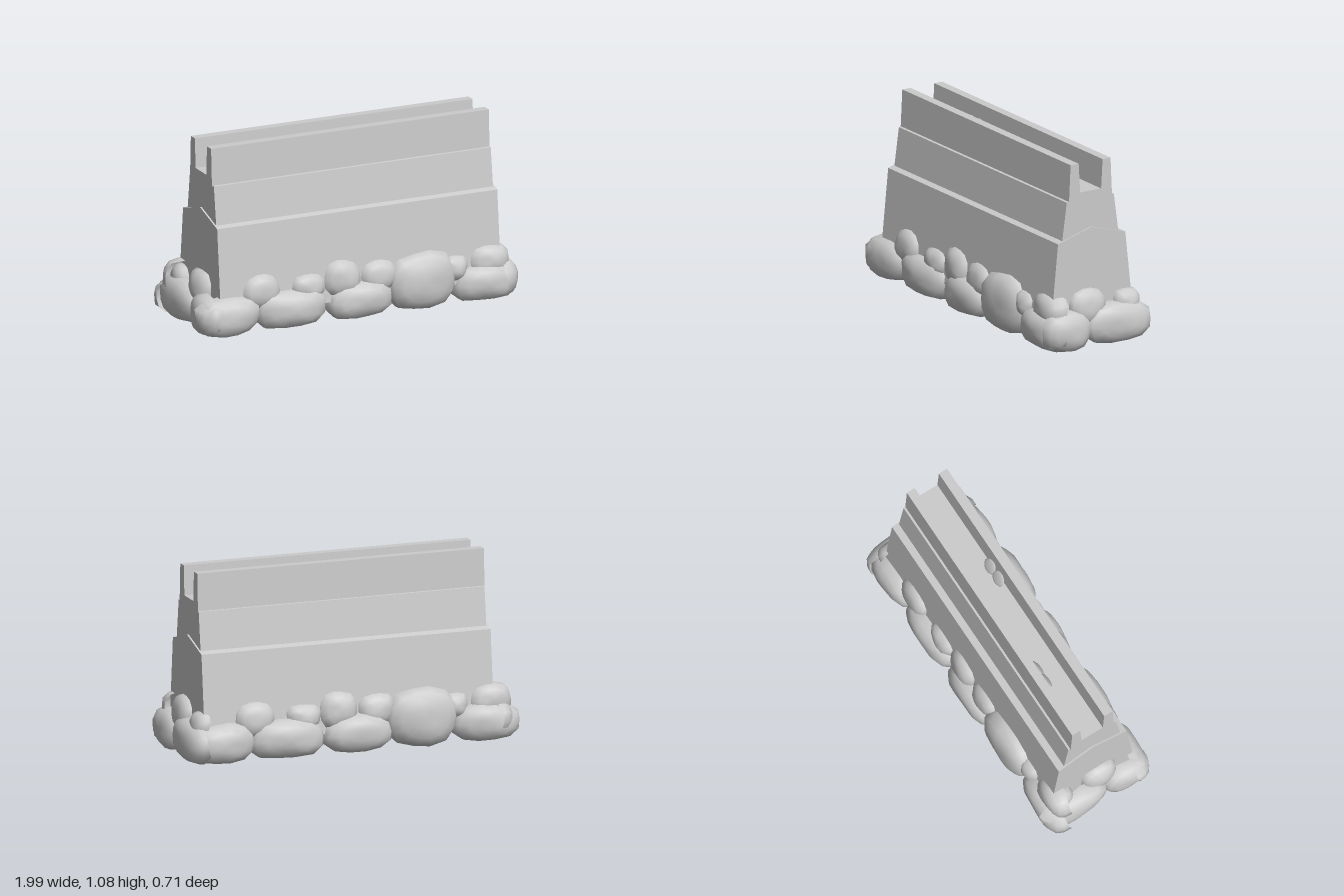
import * as THREE from 'three';
import { mergeVertices } from 'three/addons/utils/BufferGeometryUtils.js';

const material = new THREE.MeshStandardMaterial({ color: 0xcccccc, side: THREE.DoubleSide });

function addMesh(parent, name, geometry) {
  const mesh = new THREE.Mesh(geometry, material);
  mesh.name = name;
  parent.add(mesh);
  return mesh;
}

// Prism along x from a [z, y] cross-section
function prism(profile, x0, x1) {
  const shape = new THREE.Shape(profile.map(([z, y]) => new THREE.Vector2(-z, y)));
  const geometry = new THREE.ExtrudeGeometry(shape, { depth: x1 - x0, bevelEnabled: false });
  return geometry.rotateY(Math.PI / 2).translate(x0, 0, 0);
}

// Drops the faces lying at the given height, leaving an open underside
function openBottom(geometry, y) {
  const p = geometry.attributes.position;
  const kept = [];
  for (let i = 0; i < p.count; i += 3) {
    const onFloor = [0, 1, 2].every((k) => Math.abs(p.getY(i + k) - y) < 1e-4);
    if (!onFloor) for (let k = 0; k < 3; k++) kept.push(p.getX(i + k), p.getY(i + k), p.getZ(i + k));
  }
  const open = new THREE.BufferGeometry();
  open.setAttribute('position', new THREE.Float32BufferAttribute(kept, 3));
  open.computeVertexNormals();
  return open;
}

// Boulder shell: rounded-box dome facing +z with an open, uneven back rim
function boulder(w, h, depth, seed) {
  let geometry = new THREE.SphereGeometry(1, 14, 5, 0, Math.PI * 2, 0, Math.PI / 2).rotateX(Math.PI / 2);
  geometry.deleteAttribute('uv');
  geometry.deleteAttribute('normal');
  geometry = mergeVertices(geometry, 1e-4);
  const p = geometry.attributes.position;
  const power = 2.9;
  for (let i = 0; i < p.count; i++) {
    const x = p.getX(i), y = p.getY(i), z = Math.max(0, p.getZ(i));
    const sum = Math.abs(x) ** power + Math.abs(y) ** power + z ** power;
    const wobble = 1 + 0.045 * Math.sin(4 * x + seed * 2.3) * Math.cos(3 * y + seed * 1.7);
    const r = wobble / sum ** (1 / power);
    const rim = z < 0.01 ? 0.12 * Math.sin(5 * x + 3 * y + seed) : 0;
    p.setXYZ(i, x * r * w / 2, y * r * h / 2, (z * r + rim) * depth);
  }
  geometry.computeVertexNormals();
  return geometry;
}

// Stones along one side: [start, end, bottom, top, upper row?]
const longRow = [
  [-0.97, -0.6, 0.01, 0.24], [-0.62, -0.18, 0.01, 0.24], [-0.17, 0.22, 0.01, 0.23],
  [0.2, 0.61, 0.01, 0.345], [0.6, 0.99, 0.01, 0.23],
  [-0.7, -0.47, 0.14, 0.345, 1], [-0.4, -0.19, 0.15, 0.31, 1], [-0.2, 0.03, 0.14, 0.365, 1],
  [0.03, 0.25, 0.14, 0.335, 1], [0.53, 0.69, 0.14, 0.3, 1], [0.7, 0.95, 0.14, 0.33, 1],
];
const endRow = [
  [-0.35, -0.06, 0.01, 0.24], [-0.07, 0.35, 0.01, 0.245],
  [-0.16, 0.06, 0.14, 0.345, 1], [0.13, 0.29, 0.14, 0.305, 1],
];
const mirrored = (row) => row.map(([a, b, ...rest]) => [-b, -a, ...rest]);

function stoneSide(name, row, angle, rim, depth, upperRim, upperDepth, seed) {
  const side = new THREE.Group();
  side.name = name;
  row.forEach(([a, b, y0, y1, upper], i) => {
    const stone = addMesh(side, upper ? 'upperStone' : 'baseStone',
      boulder(b - a + 0.01, y1 - y0, upper ? upperDepth : depth, seed + i));
    stone.position.set((a + b) / 2, (y0 + y1) / 2, upper ? upperRim : rim);
    stone.rotation.x = upper ? -0.1 : 0;
  });
  side.rotation.y = angle;
  return side;
}

export function createModel() {
  const model = new THREE.Group();
  model.name = 'stoneFootedWall';

  // Tapered wall body with a gabled top and open underside
  const bottom = 0.13;
  addMesh(model, 'wallBody', openBottom(prism(
    [[0.29, bottom], [0.24, 0.635], [0.015, 0.70], [-0.21, 0.635], [-0.265, bottom]], -0.84, 0.89), bottom));

  // Middle tier
  addMesh(model, 'middleTier', prism(
    [[0.205, 0.645], [0.175, 0.865], [0.015, 0.885], [-0.14, 0.865], [-0.17, 0.645]], -0.83, 0.88));

  // Channel with two upright rails
  addMesh(model, 'topChannel', prism([
    [0.16, 0.86], [0.149, 1.08], [0.095, 1.08], [0.085, 0.91],
    [-0.055, 0.91], [-0.065, 1.08], [-0.118, 1.08], [-0.128, 0.86],
  ], -0.835, 0.88));

  // Thin oval discs leaning against the channel rails
  for (const [x, z, lean] of [[-0.44, -0.037, -1], [-0.355, -0.037, -1], [0.215, 0.063, 1], [0.3, 0.063, 1]]) {
    const disc = addMesh(model, 'leaningDisc', new THREE.SphereGeometry(1, 14, 8));
    disc.scale.set(0.048, 0.048, 0.009);
    disc.position.set(x, 0.955, z);
    disc.rotation.x = lean * 0.48;
  }

  // Ring of boulders around the foot
  model.add(
    stoneSide('frontStones', longRow, 0, 0.24, 0.115, 0.22, 0.1, 1),
    stoneSide('backStones', longRow, Math.PI, 0.23, 0.115, 0.2, 0.1, 4),
    stoneSide('leftEndStones', endRow, Math.PI / 2, 0.895, 0.1, 0.87, 0.08, 7),
    stoneSide('rightEndStones', mirrored(endRow), -Math.PI / 2, 0.86, 0.1, 0.82, 0.085, 11),
  );
  return model;
}
